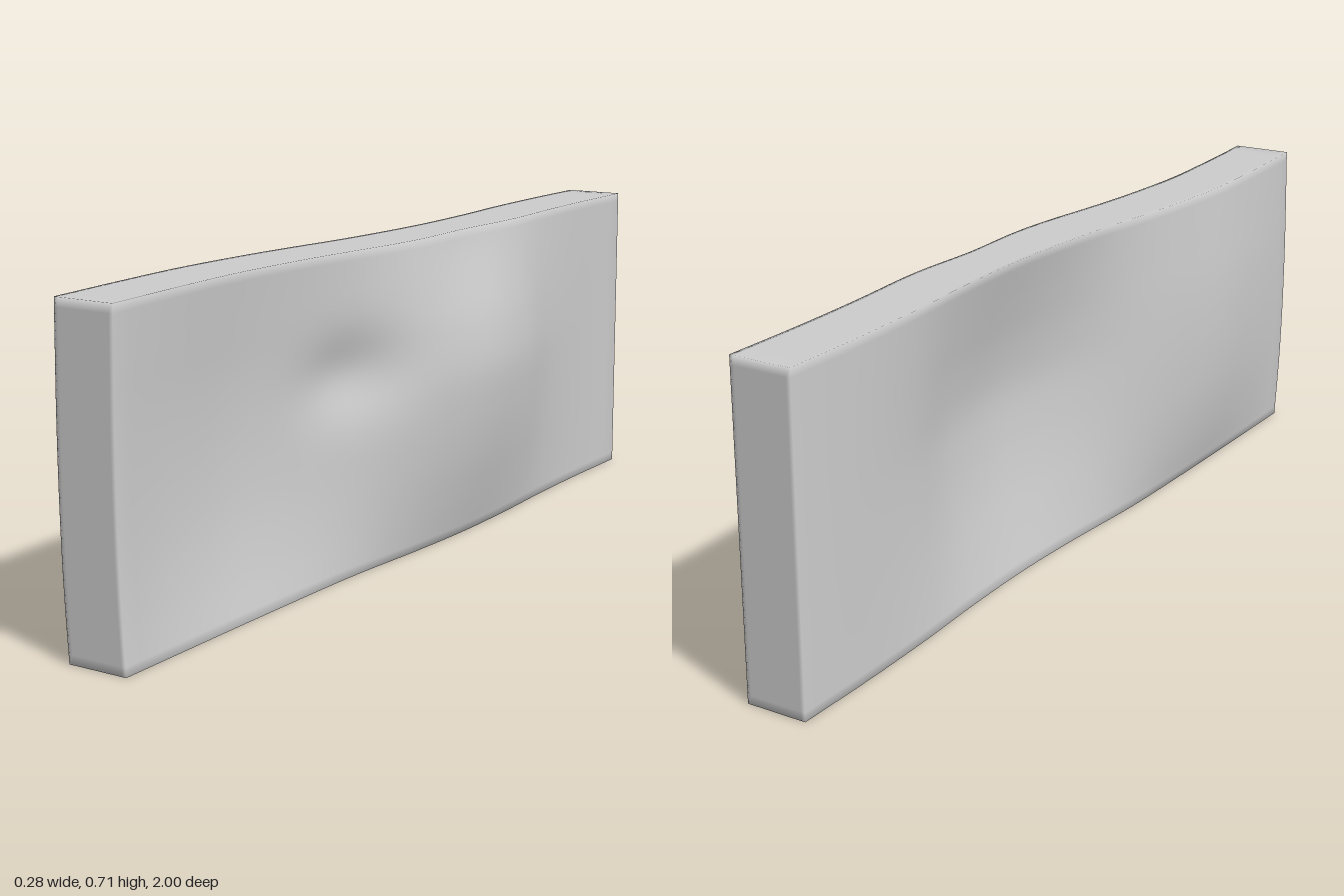
import * as THREE from 'three';
import { mergeVertices } from 'three/addons/utils/BufferGeometryUtils.js';

const HEIGHT = 0.71, LENGTH = 2, THICK = 0.14, CENTRE = -0.02;

// Smooth interpolation through [position, value] pairs
function profile(points) {
  const smooth = (i) => {
    const a = points[Math.max(i - 1, 0)], b = points[Math.min(i + 1, points.length - 1)];
    return (b[1] - a[1]) / (b[0] - a[0]);
  };
  return (t) => {
    let i = 0;
    while (i < points.length - 2 && t > points[i + 1][0]) i++;
    const [t0, v0] = points[i], [t1, v1] = points[i + 1], h = t1 - t0;
    const s = THREE.MathUtils.clamp((t - t0) / h, 0, 1), s2 = s * s, s3 = s2 * s;
    return (2 * s3 - 3 * s2 + 1) * v0 + (s3 - 2 * s2 + s) * h * smooth(i)
      + (3 * s2 - 2 * s3) * v1 + (s3 - s2) * h * smooth(i + 1);
  };
}

// Sideways bend: one lobe towards +x, one towards -x, each strongest at mid height
const outLength = profile([[-1, 0], [-0.8, 0.03], [-0.6, 0.28], [-0.4, 0.78], [-0.2, 1], [0, 0.72], [0.2, 0.15], [0.32, 0], [1, 0]]);
const outHeight = profile([[0, 0.022], [0.1, 0.047], [0.2, 0.069], [0.3, 0.084], [0.4, 0.09], [0.5, 0.078], [0.6, 0.056], [0.71, 0.028]]);
const inLength = profile([[-1, 0], [0.1, 0], [0.25, 0.28], [0.4, 0.72], [0.6, 1], [0.8, 0.72], [1, 0.24]]);
const inHeight = profile([[0, 0.002], [0.1, 0.025], [0.2, 0.041], [0.3, 0.049], [0.4, 0.051], [0.5, 0.048], [0.6, 0.04], [0.71, 0.03]]);
const bend = (y, z) => outLength(z) * outHeight(y) - inLength(z) * inHeight(y);

// Local hollows pressed into the +x face
const hollow = (y, z, y0, z0, ry, rz, depth) =>
  depth * Math.exp(-(((y - y0) / ry) ** 2) - ((z - z0) / rz) ** 2);
const dents = (y, z) =>
  hollow(y, z, 0.44, 0.22, 0.085, 0.14, 0.03) + hollow(y, z, 0.68, -0.2, 0.13, 0.14, 0.016);

// Shifts the outermost grid loop close to the edge so the corners shade softly but stay tight
function gridPosition(p, size, segments, edge) {
  const u = p / (size / 2);
  if (Math.abs(u) > 0.9999) return p;
  return u * (segments / (segments - 2)) * (size / 2 - edge);
}

export function createModel() {
  const group = new THREE.Group();
  const nx = 6, ny = 44, nz = 110;
  let geometry = new THREE.BoxGeometry(THICK, HEIGHT, LENGTH, nx, ny, nz);
  geometry.deleteAttribute('normal');
  geometry.deleteAttribute('uv');
  geometry = mergeVertices(geometry);

  const pos = geometry.attributes.position;
  for (let i = 0; i < pos.count; i++) {
    const x = gridPosition(pos.getX(i), THICK, nx, 0.01);
    const y = gridPosition(pos.getY(i), HEIGHT, ny, 0.02) + HEIGHT / 2;
    const z = gridPosition(pos.getZ(i), LENGTH, nz, 0.05);
    const dentShare = x / THICK + 0.5; // full on the +x face, none on the -x face
    pos.setXYZ(i, CENTRE + x + bend(y, z) - dents(y, z) * dentShare, y, z);
  }
  geometry.computeVertexNormals();

  const slab = new THREE.Mesh(geometry, new THREE.MeshStandardMaterial({ color: 0xcccccc }));
  slab.name = 'wavySlab';
  group.add(slab);
  return group;
}
